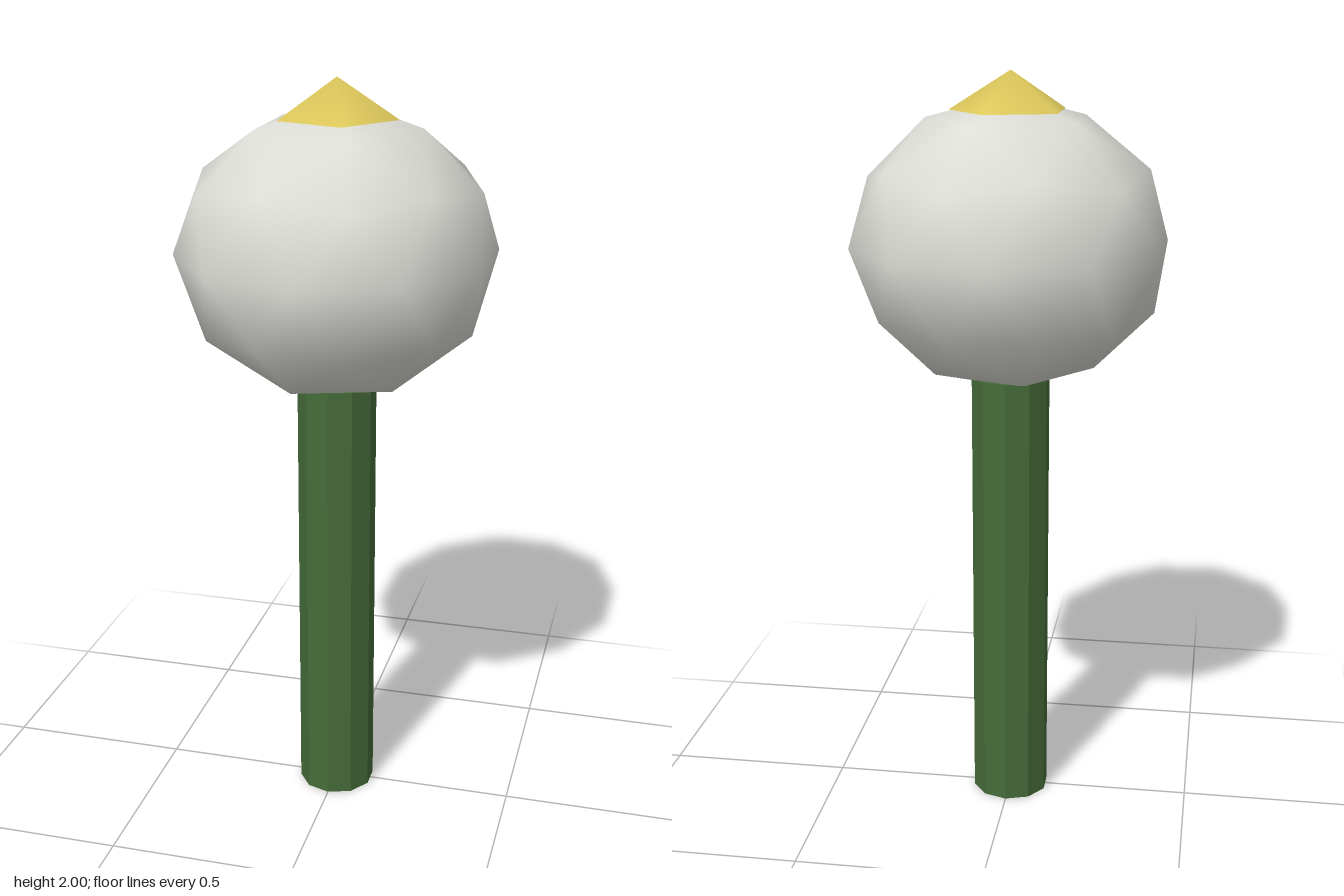
import * as THREE from 'three';
import { mergeVertices } from 'three/addons/utils/BufferGeometryUtils.js';

const material = (name, color, flatShading = false) => {
  const m = new THREE.MeshStandardMaterial({ color, flatShading });
  m.name = name;
  return m;
};

// Icosphere with its poles on the y axis and an upper ring corner on +x
function poleIcosphere(radius, detail) {
  const y = 1 / Math.sqrt(5), r = 2 / Math.sqrt(5);
  const points = [0, 1, 0, 0, -1, 0];
  const faces = [];
  for (let i = 0; i < 5; i++) {
    const a = i * Math.PI * 0.4, b = a + Math.PI / 5;
    points.push(r * Math.cos(a), y, r * Math.sin(a), r * Math.cos(b), -y, r * Math.sin(b));
    const u = 2 + 2 * i, l = u + 1, u2 = 2 + 2 * ((i + 1) % 5), l2 = u2 + 1;
    faces.push(0, u2, u, u, u2, l, l, u2, l2, 1, l, l2);
  }
  return new THREE.PolyhedronGeometry(points, faces, radius, detail);
}

export function createModel() {
  const group = new THREE.Group();
  const add = (name, geometry, mat, y) => {
    const mesh = new THREE.Mesh(geometry, mat);
    mesh.name = name;
    mesh.position.y = y;
    group.add(mesh);
  };

  // Ten-sided stem
  add('stem', new THREE.CylinderGeometry(0.105, 0.105, 1.21, 10),
    material('stem green', 0x456b38, true), 0.605);

  // Slightly squashed smooth head
  add('head', poleIcosphere(0.42, 1).scale(1, 0.9, 1), material('pale grey', 0xdcddd6), 1.56);

  // Five-sided cap with softened shading
  const cone = new THREE.ConeGeometry(0.16, 0.1, 5, 1, true).rotateY(Math.PI / 2);
  cone.deleteAttribute('normal');
  cone.deleteAttribute('uv');
  const capGeometry = mergeVertices(cone);
  capGeometry.computeVertexNormals();
  const capMaterial = material('cap yellow', 0xdcc75a);
  capMaterial.side = THREE.DoubleSide;
  add('cap', capGeometry, capMaterial, 1.95);

  return group;
}
